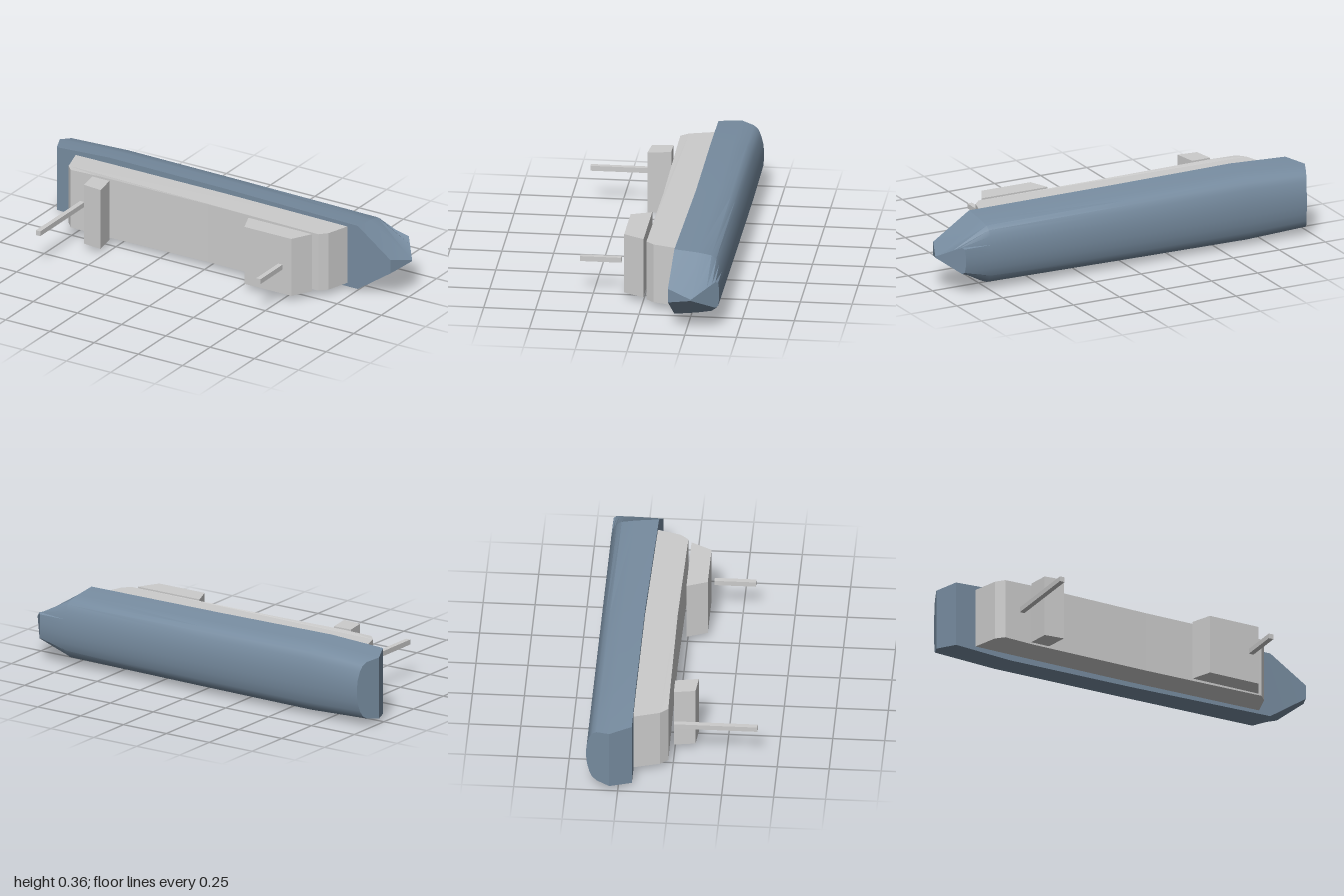
import * as THREE from 'three';
import { toCreasedNormals } from 'three/addons/utils/BufferGeometryUtils.js';

const MID = 0.185; // centreline height: the ship lies on its side, deck facing +z
const KEEL = -0.405;
const grey = new THREE.MeshStandardMaterial({ color: 0xcccccc, flatShading: true });
const blue = new THREE.MeshStandardMaterial({ color: 0x778ca0, side: THREE.DoubleSide });

function add(group, name, geometry, material) {
  const mesh = new THREE.Mesh(geometry, material);
  mesh.name = name;
  group.add(mesh);
  return mesh;
}

// Half section: [share of the half beam, depth from deck 0 to keel 1]
const SECTION = [[1, 0], [0.93, 0.48], [0.86, 0.77], [0.76, 0.87], [0.6, 0.93], [0.36, 0.98], [0.12, 1]];

// End outline in side view: deck x, knuckle x, keel x
function endX(t, deck, knuckle, keel) {
  return t < 0.48
    ? THREE.MathUtils.lerp(deck, knuckle, t / 0.48)
    : THREE.MathUtils.lerp(knuckle, keel, (t - 0.48) / 0.52);
}

function hullGeometry() {
  const sternX = t => endX(t, -0.95, -1, -0.95);
  const bowX = t => endX(t, 0.95, 1, 0.9);
  const bowHalf = (f, t) => t < 0.48 ? 0.035 : Math.min(0.003 + 0.14 * (t - 0.48), 0.165 * f);
  const stations = [
    { x: sternX, half: () => 0, deck: -0.185 },
    { x: sternX, half: f => 0.165 * f, deck: -0.185 },
    { x: () => -0.65, half: f => 0.18 * f, deck: -0.187 },
    { x: () => 0, half: f => 0.174 * f, deck: -0.187 },
    { x: () => 0.76, half: f => 0.166 * f, deck: -0.172 },
    { x: bowX, half: bowHalf, deck: -0.163 },
    { x: bowX, half: () => 0, deck: -0.163 },
  ];
  const positions = [], index = [], n = SECTION.length * 2;
  for (const s of stations) {
    const ring = SECTION.map(([f, t]) => [s.x(t), s.half(f, t), THREE.MathUtils.lerp(s.deck, KEEL, t)]);
    for (const [x, y, z] of ring) positions.push(x, MID + y, z);
    for (const [x, y, z] of ring.slice().reverse()) positions.push(x, MID - y, z);
  }
  for (let i = 0; i < stations.length - 1; i++) {
    for (let j = 0; j < n; j++) {
      const a = i * n + j, b = i * n + (j + 1) % n;
      index.push(a, a + n, b, b, a + n, b + n);
    }
  }
  const g = new THREE.BufferGeometry();
  g.setAttribute('position', new THREE.Float32BufferAttribute(positions, 3));
  g.setIndex(index);
  return toCreasedNormals(g, 0.5);
}

// Side profile in (x, z), extruded across the beam; half(x) gives the half width
function prism(points, half) {
  const shape = new THREE.Shape(points.map(p => new THREE.Vector2(...p)));
  const g = new THREE.ExtrudeGeometry(shape, { depth: 2, bevelEnabled: false });
  g.rotateX(Math.PI / 2).translate(0, 1, 0);
  const p = g.attributes.position;
  for (let i = 0; i < p.count; i++) p.setY(i, MID + p.getY(i) * half(p.getX(i)));
  g.computeVertexNormals();
  return g;
}

export function createModel() {
  const ship = new THREE.Group();
  ship.name = 'ship';

  add(ship, 'hull', hullGeometry(), blue);

  // Long deckhouse, widest a little forward of its aft end
  add(ship, 'deckhouse', prism(
    [[-0.845, -0.19], [-0.805, -0.06], [-0.77, -0.022], [-0.62, -0.024], [0, -0.03],
      [0.63, -0.022], [0.665, -0.06], [0.705, -0.19]],
    x => x < -0.62 ? 0.155 - (-0.62 - x) * 0.025 : 0.155 - (x + 0.62) * 0.005), grey);

  // Upper blocks, a hair clear of the deckhouse
  add(ship, 'bridgeBlock', prism(
    [[0.245, -0.005], [0.285, 0.095], [0.55, 0.095], [0.605, -0.005]], () => 0.15), grey);
  add(ship, 'funnelBlock', prism(
    [[-0.637, -0.005], [-0.62, 0.098], [-0.52, 0.108], [-0.54, -0.005]], () => 0.155), grey);

  // Square masts
  for (const [name, x, z0, z1] of [['aftMast', -0.69, 0, 0.402], ['foreMast', 0.5, 0.113, 0.313]]) {
    const mast = add(ship, name, new THREE.BoxGeometry(0.025, 0.025, z1 - z0), grey);
    mast.position.set(x, MID, (z0 + z1) / 2);
  }
  return ship;
}
